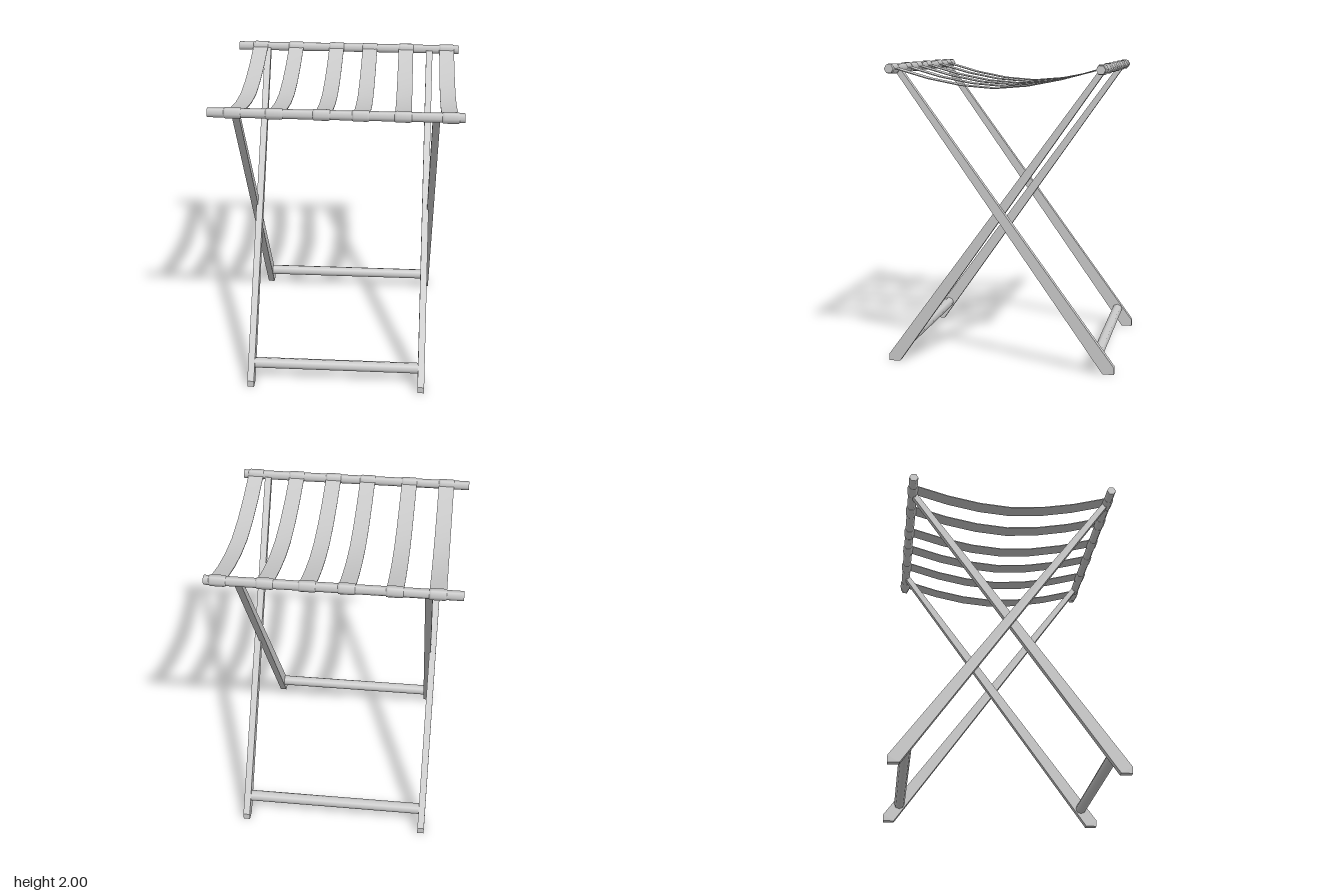
import * as THREE from 'three';

const material = new THREE.MeshStandardMaterial({ color: 0xcccccc });
const RAIL_Y = 1.9685, RAIL_Z = 0.675;

function add(parent, name, geometry, x = 0, y = 0, z = 0) {
  const mesh = new THREE.Mesh(geometry, material);
  mesh.name = name;
  mesh.position.set(x, y, z);
  parent.add(mesh);
  return mesh;
}

// Round bar lying along x
function bar(radius, length, sides) {
  return new THREE.CylinderGeometry(radius, radius, length, sides).rotateZ(Math.PI / 2);
}

// Tapered slanting leg, outlined in the z-y plane, foot at +z
function legGeometry(width) {
  const outline = [[0.69, 0], [0.765, 0], [0.765, 0.045], [-0.645, 1.965], [-0.69, 1.965]];
  const shape = new THREE.Shape(outline.map(([z, y]) => new THREE.Vector2(z, y)));
  return new THREE.ExtrudeGeometry(shape, { depth: width, bevelEnabled: false })
    .rotateY(-Math.PI / 2)
    .translate(width / 2, 0, 0);
}

// One half of the folding stand: two legs, low stretcher and top rail
function legFrame(name, halfSpan) {
  const frame = new THREE.Group();
  frame.name = name;
  const leg = legGeometry(0.045);
  add(frame, 'leftLeg', leg, halfSpan);
  add(frame, 'rightLeg', leg, -halfSpan);
  add(frame, 'stretcher', bar(0.037, halfSpan * 2 - 0.03, 8), 0, 0.127, 0.654);
  add(frame, 'topRail', bar(0.0305, 1.58, 6), 0, RAIL_Y, -RAIL_Z);
  return frame;
}

// Thin strap sagging between the rails
function strapGeometry() {
  const geometry = new THREE.BoxGeometry(0.105, 0.006, 1.29, 1, 1, 6);
  const p = geometry.attributes.position;
  for (let i = 0; i < p.count; i++) {
    p.setY(i, p.getY(i) + 1.848 + 0.26 * Math.pow(Math.abs(p.getZ(i)), 1.75));
  }
  geometry.computeVertexNormals();
  return geometry;
}

// Sleeve of the strap wrapped round a rail
function loopGeometry() {
  const profile = [[0.029, -0.053], [0.034, -0.05], [0.0362, -0.038],
    [0.0362, 0.038], [0.034, 0.05], [0.029, 0.053]];
  return new THREE.LatheGeometry(profile.map(([r, h]) => new THREE.Vector2(r, h)), 6)
    .rotateZ(Math.PI / 2);
}

export function createModel() {
  const model = new THREE.Group();
  model.name = 'foldingLuggageRack';

  // Crossed frames, the inner one standing at the front
  model.add(legFrame('innerFrame', 0.581));
  const outer = legFrame('outerFrame', 0.616);
  outer.rotation.y = Math.PI;
  model.add(outer);

  // Six straps, unevenly spaced
  const strap = strapGeometry(), loop = loopGeometry();
  for (const x of [-0.634, -0.376, -0.085, 0.155, 0.414, 0.704]) {
    const group = new THREE.Group();
    group.name = 'strapWithLoops';
    group.position.x = x;
    add(group, 'strap', strap);
    add(group, 'frontLoop', loop, 0, RAIL_Y, RAIL_Z);
    add(group, 'backLoop', loop, 0, RAIL_Y, -RAIL_Z);
    model.add(group);
  }
  return model;
}
